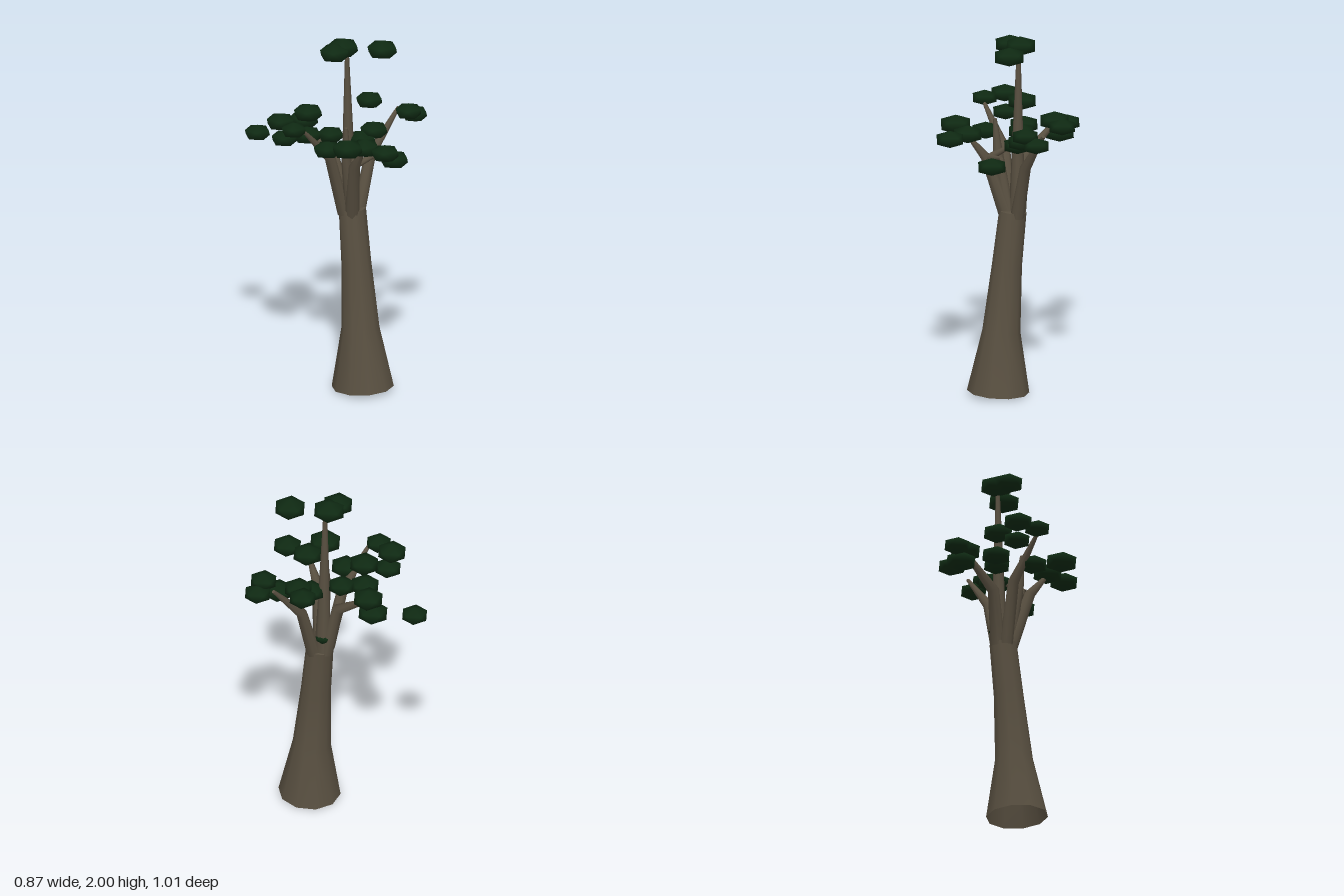
import * as THREE from 'three';
import { mergeVertices } from 'three/addons/utils/BufferGeometryUtils.js';

const bark = new THREE.MeshStandardMaterial({ color: 0x595041, side: THREE.DoubleSide });
bark.name = 'bark brown';
const foliage = new THREE.MeshStandardMaterial({ color: 0x0f2a13 });
foliage.name = 'dark leaf green';

// Tapered limb through [x, y, z, radius] stations, closed at its far end
function limbGeometry(stations, sides) {
  const centres = stations.map(([x, y, z]) => new THREE.Vector3(x, y, z));
  const positions = [];
  const indices = [];
  const last = stations.length - 1;
  const addRing = (i) => {
    const tangent = centres[Math.min(i + 1, last)].clone().sub(centres[Math.max(i - 1, 0)]).normalize();
    const v = new THREE.Vector3().crossVectors(new THREE.Vector3(1, 0, 0), tangent).normalize();
    const u = new THREE.Vector3().crossVectors(tangent, v);
    for (let k = 0; k < sides; k++) {
      const a = (k / sides) * Math.PI * 2;
      const p = centres[i].clone()
        .addScaledVector(v, Math.cos(a) * stations[i][3])
        .addScaledVector(u, Math.sin(a) * stations[i][3]);
      positions.push(p.x, p.y, p.z);
    }
  };
  for (let i = 0; i <= last; i++) addRing(i);
  for (let i = 0; i < last; i++) {
    for (let k = 0; k < sides; k++) {
      const a = i * sides + k;
      const b = i * sides + (k + 1) % sides;
      indices.push(a, a + sides, b, b, a + sides, b + sides);
    }
  }
  // End cap with its own ring so the rim stays sharp
  addRing(last);
  const start = (last + 1) * sides;
  positions.push(...centres[last].toArray());
  for (let k = 0; k < sides; k++) indices.push(start + k, start + sides, start + (k + 1) % sides);
  const geometry = new THREE.BufferGeometry();
  geometry.setAttribute('position', new THREE.Float32BufferAttribute(positions, 3));
  // Make the winding face outward
  for (let i = 0; i < indices.length; i += 3) {
    [indices[i + 1], indices[i + 2]] = [indices[i + 2], indices[i + 1]];
  }
  geometry.setIndex(indices);
  geometry.computeVertexNormals();
  return geometry;
}

// Flattened icosahedron standing on a corner, with unit girth
function leafGeometry() {
  let geometry = new THREE.IcosahedronGeometry(1, 0);
  geometry.rotateX(-Math.atan((1 + Math.sqrt(5)) / 2));
  geometry.rotateY(Math.PI / 2);
  geometry.scale(1.118, 0.65, 1.118);
  geometry.deleteAttribute('normal');
  geometry.deleteAttribute('uv');
  geometry = mergeVertices(geometry, 1e-4);
  geometry.computeVertexNormals();
  return geometry;
}

const trunk = [
  [-0.015, 0.01, 0.175, 0.17], [-0.012, 0.35, 0.155, 0.104],
  [-0.007, 0.72, 0.12, 0.082], [0, 1.02, 0.085, 0.075],
];

const limbs = {
  leader: [[0.005, 1.0, 0.06, 0.045], [0.002, 1.4, 0.052, 0.031], [0, 1.94, 0.045, 0.01]],
  backBranch: [[0, 1.0, 0.045, 0.04], [-0.035, 1.3, -0.02, 0.032], [-0.04, 1.43, -0.2, 0.016]],
  leftBranch: [[0.045, 1.0, 0.09, 0.038], [0.13, 1.3, 0.1, 0.03], [0.325, 1.53, 0.13, 0.01]],
  rightBranch: [[-0.045, 1.0, 0.065, 0.036], [-0.13, 1.34, 0.04, 0.03], [-0.33, 1.55, 0.025, 0.01]],
  frontBranch: [[-0.03, 1.0, 0.11, 0.04], [-0.1, 1.32, 0.19, 0.03], [-0.13, 1.44, 0.28, 0.012]],
  uprightBranch: [[-0.025, 1.0, 0.1, 0.036], [-0.09, 1.36, 0.12, 0.026], [-0.1, 1.53, 0.13, 0.01]],
  frontTwig: [[-0.09, 1.32, 0.18, 0.022], [0.07, 1.36, 0.22, 0.01]],
  sideTwig: [[-0.08, 1.33, 0.17, 0.02], [0.03, 1.41, 0.1, 0.01]],
};

// Leaf clusters as x, y, z, radius
const crown = [
  [-0.01, 1.945, 0.025, 0.084], [-0.09, 1.94, 0.035, 0.08], [0.115, 1.945, 0.2, 0.082],
];
const backLeaves = [
  [-0.19, 1.38, -0.44, 0.069], [-0.04, 1.39, -0.27, 0.08], [-0.04, 1.465, -0.235, 0.08],
  [-0.155, 1.575, -0.1, 0.078], [-0.15, 1.44, -0.11, 0.076], [-0.06, 1.44, -0.02, 0.07],
];
const sideLeaves = [
  [-0.345, 1.57, -0.13, 0.076], [-0.325, 1.47, -0.12, 0.07], [-0.37, 1.56, -0.01, 0.067],
  [-0.22, 1.43, 0.1, 0.075], [0.275, 1.54, -0.04, 0.072], [0.365, 1.5, 0.21, 0.07],
  [0.295, 1.54, 0.23, 0.071],
];
const frontLeaves = [
  [0.13, 1.45, 0.125, 0.075], [0.06, 1.41, 0.1, 0.075], [0.095, 1.335, 0.305, 0.077],
  [-0.255, 1.49, 0.28, 0.083], [-0.13, 1.465, 0.295, 0.078], [-0.115, 1.465, 0.43, 0.075],
  [0.01, 1.1, 0.05, 0.045],
];

export function createModel() {
  const tree = new THREE.Group();
  tree.name = 'tree';

  const trunkMesh = new THREE.Mesh(limbGeometry(trunk, 10), bark);
  trunkMesh.name = 'trunk';
  tree.add(trunkMesh);

  const branches = new THREE.Group();
  branches.name = 'branches';
  for (const [name, stations] of Object.entries(limbs)) {
    const mesh = new THREE.Mesh(limbGeometry(stations, 8), bark);
    mesh.name = name;
    branches.add(mesh);
  }
  tree.add(branches);

  const leaf = leafGeometry();
  for (const [name, clusters] of Object.entries({ crown, backLeaves, sideLeaves, frontLeaves })) {
    const group = new THREE.Group();
    group.name = name;
    for (const [x, y, z, r] of clusters) {
      const mesh = new THREE.Mesh(leaf, foliage);
      mesh.name = 'leafCluster';
      mesh.position.set(x, y, z);
      mesh.scale.setScalar(r);
      group.add(mesh);
    }
    tree.add(group);
  }
  return tree;
}
